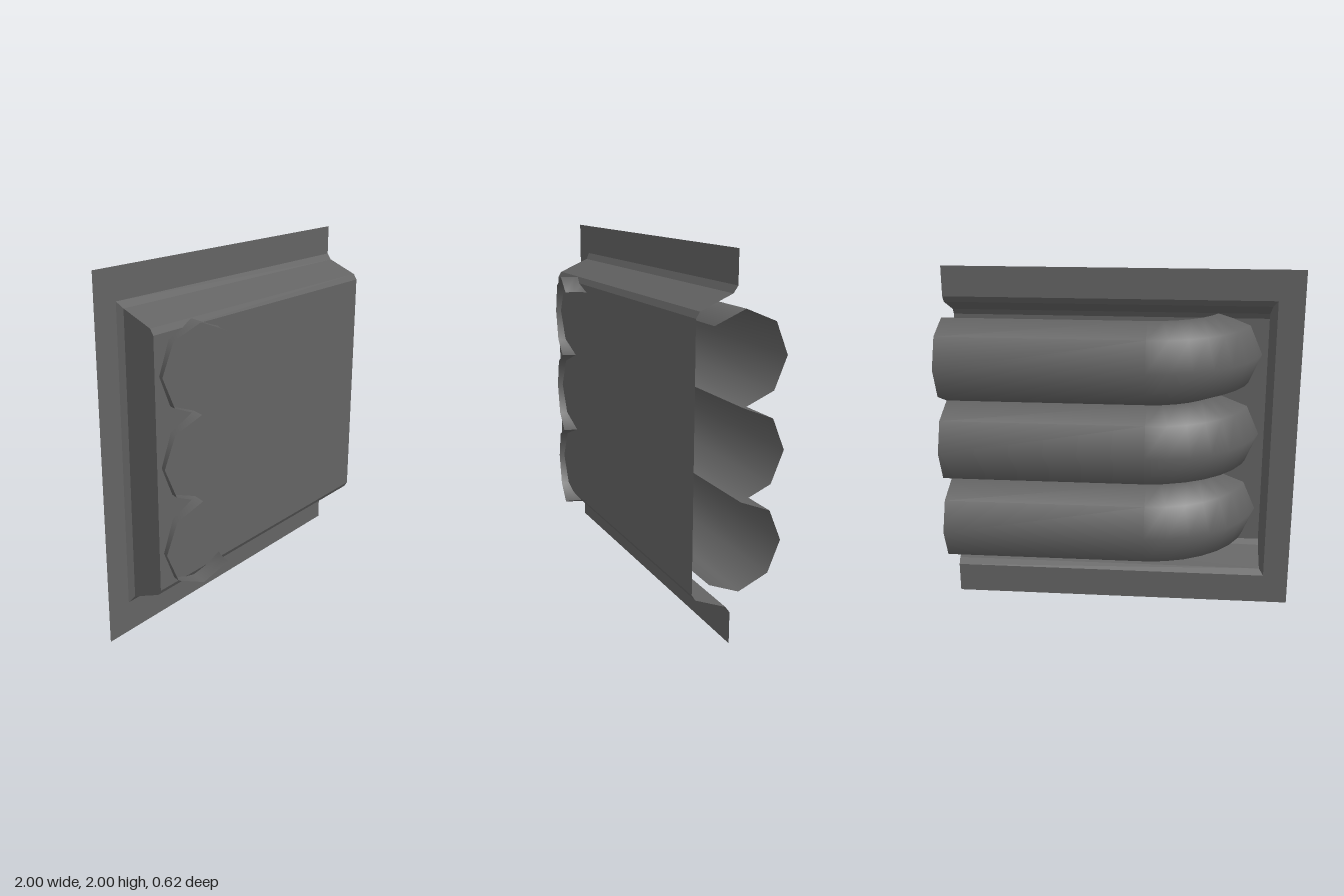
import * as THREE from 'three';

const color = 0x636363;
const smooth = new THREE.MeshStandardMaterial({ color, side: THREE.DoubleSide });
const flat = new THREE.MeshStandardMaterial({ color, side: THREE.DoubleSide, flatShading: true });

// Surface through rows of [x, y, z] points, all rows equally long
function sheet(rows) {
  const n = rows[0].length;
  const index = [];
  for (let i = 0; i < rows.length - 1; i++) {
    for (let j = 0; j < n - 1; j++) {
      const a = i * n + j, b = a + 1, c = a + n, d = c + 1;
      index.push(a, c, b, b, c, d);
    }
  }
  const geo = new THREE.BufferGeometry();
  geo.setAttribute('position', new THREE.Float32BufferAttribute(rows.flat(2), 3));
  geo.setIndex(index);
  geo.computeVertexNormals();
  return geo;
}

export function createModel() {
  const group = new THREE.Group();
  const add = (name, geo, mat) => {
    const mesh = new THREE.Mesh(geo, mat);
    mesh.name = name;
    group.add(mesh);
    return mesh;
  };
  const back = -0.022, wallX = -0.83, rimX = -0.855;

  // Flat wall surround, open on the +x side
  const surround = new THREE.Shape([
    [1, 2], [-1, 2], [-1, 0], [1, 0], [1, 0.175], [rimX, 0.175], [rimX, 1.83], [1, 1.83],
  ].map(([x, y]) => new THREE.Vector2(x, y)));
  add('surround', new THREE.ShapeGeometry(surround), flat).position.z = back;

  // Raised cover: half profile as [y, z], mirrored about mid height
  const half = [[1.795, 0.003], [1.722, 0.177], [1.69, 0.197]];
  const mid = 1.0025;
  const profile = [...half, ...half.map(([y, z]) => [2 * mid - y, z]).reverse()];
  add('cover', sheet([wallX, 1].map(x => profile.map(([y, z]) => [x, y, z]))), flat);

  // Side wall closing the cover at -x
  const side = new THREE.Shape(profile.map(([y, z]) => new THREE.Vector2(-z, y)));
  const sideWall = add('sideWall', new THREE.ShapeGeometry(side), flat);
  sideWall.rotation.y = Math.PI / 2;
  sideWall.position.x = wallX;

  // Mitred bevel between surround and cover
  add('bevel', sheet([
    [[1, 1.83, back], [rimX, 1.83, back], [rimX, 0.175, back], [1, 0.175, back]],
    [[1, 1.795, 0.003], [wallX, 1.795, 0.003], [wallX, 0.21, 0.003], [1, 0.21, 0.003]],
  ]), flat);

  // Path stations: a straight run, then a bend towards the front
  const bendX = -0.15, bendZ = 0.36, bendR = 0.43, steps = 7;
  const bend = THREE.MathUtils.degToRad(78.5);

  // Three half-octagon pipes; the outer two wrap one facet further
  const radius = 0.24;
  for (let p = 0; p < 3; p++) {
    const cy = 1.48 - p * 2 * radius;
    const first = p === 0 ? -1 : 0, last = p === 2 ? 5 : 4;
    const rows = [], normals = [];
    for (let i = -1; i <= steps; i++) {
      const turn = bend * Math.max(i, 0) / steps;
      const outX = -Math.sin(turn), outZ = -Math.cos(turn);
      const startX = i < 0 ? 1 : bendX;
      const row = [];
      for (let k = first; k <= last; k++) {
        const s = Math.sin(k * Math.PI / 4), c = Math.cos(k * Math.PI / 4);
        const r = bendR + radius * s;
        row.push([startX + r * outX, cy + radius * c, bendZ + r * outZ]);
        normals.push(s * outX, c, s * outZ);
      }
      rows.push(row);
    }
    // Round normals keep the facets smooth and the seams between pipes sharp
    const geo = sheet(rows);
    geo.setAttribute('normal', new THREE.Float32BufferAttribute(normals, 3));
    add('pipe' + (p + 1), geo, smooth);
  }
  return group;
}
